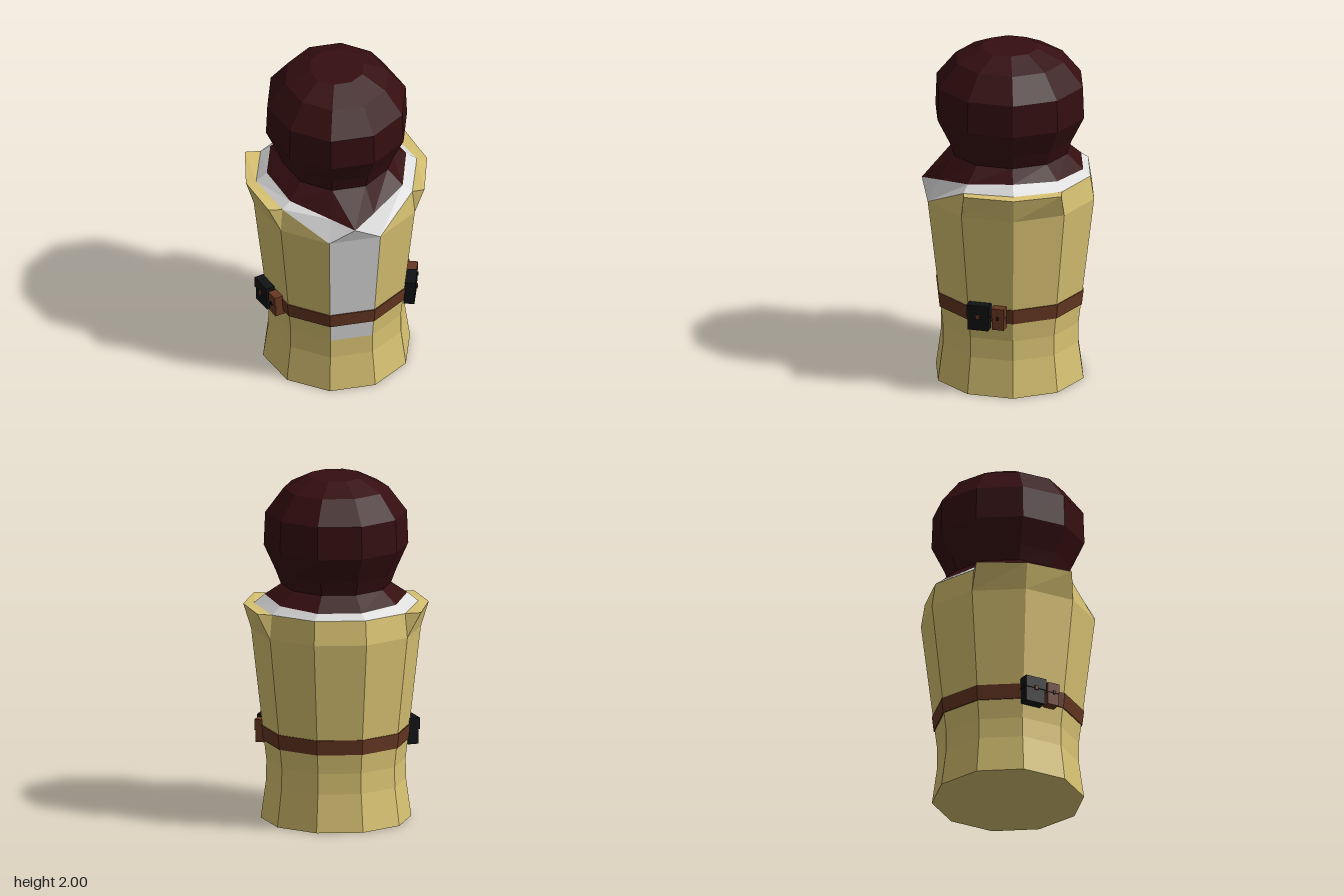
import * as THREE from 'three';

const SIDES = 10;
const mat = (name, color) => {
  const m = new THREE.MeshStandardMaterial({ color });
  m.name = name;
  return m;
};

// Ten-sided ring with a flat front; y may be one height or one per corner.
// Corner 0 is at +x, 2 and 3 are the front corners, 5 is at -x.
function ring(y, rx, rz = rx, cz = -0.015) {
  return Array.from({ length: SIDES }, (_, i) => {
    const a = ((i * 36 - 2.5) * Math.PI) / 180;
    return new THREE.Vector3(0.003 + rx * Math.cos(a), Array.isArray(y) ? y[i] : y, cz + rz * Math.sin(a));
  });
}

// Faceted surface collected triangle by triangle
class Facets {
  constructor() { this.p = []; }
  tri(...corners) {
    for (const v of corners) this.p.push(v.x, v.y, v.z);
    return this;
  }
  // Quads between two rings on the listed sides
  band(low, high, sides = [...Array(SIDES).keys()]) {
    for (const i of sides) {
      const j = (i + 1) % SIDES;
      this.tri(low[j], low[i], high[i]).tri(low[j], high[i], high[j]);
    }
    return this;
  }
  cap(r, up) {
    for (let i = 1; i < SIDES - 1; i++) {
      if (up) this.tri(r[0], r[i + 1], r[i]);
      else this.tri(r[0], r[i], r[i + 1]);
    }
    return this;
  }
  mesh(name, material) {
    const g = new THREE.BufferGeometry();
    g.setAttribute('position', new THREE.Float32BufferAttribute(this.p, 3));
    g.computeVertexNormals();
    const m = new THREE.Mesh(g, material);
    m.name = name;
    return m;
  }
}

export function createModel() {
  const model = new THREE.Group();
  model.name = 'hoodedFigure';
  const coatMat = mat('coat tan', 0xd8c272);
  const shirtMat = mat('shirt white', 0xdcdcdc);
  const hoodMat = mat('hood maroon', 0x350e10);
  const leather = mat('belt brown', 0x653722);
  const black = mat('pouch black', 0x101214);

  // Body rings from the hem to the chest
  const hem = ring(0, 0.43, 0.437);
  const knee = ring(0.22, 0.4, 0.407);
  const hip = ring(0.34, 0.398, 0.407);
  const chest = ring(1.11, 0.485, 0.5);

  // Collar edge: it drops to the chest at the two front corners
  const collar = ring([1.26, 1.25, 0, 0, 1.25, 1.26, 1.25, 1.25, 1.25, 1.25], 0.47, 0.478);
  collar[2] = chest[2];
  collar[3] = chest[3];
  // Line where the hood meets the shirt, with a point at the front
  const hoodBase = ring([1.31, 1.285, 1.235, 1.235, 1.285, 1.31, 1.295, 1.285, 1.285, 1.295], 0.408, 0.435);
  const tip = new THREE.Vector3(0.02, 1.2, 0.487);

  // Coat with an open front and flared shoulder flaps
  const coat = new Facets()
    .cap(hem, false)
    .band(hem, knee)
    .band(knee, hip)
    .band(hip, chest, [0, 1, 3, 4, 5, 6, 7, 8, 9])
    .band(chest, collar, [6, 7, 8])
    .tri(chest[2], chest[1], collar[1])
    .tri(chest[4], chest[3], collar[4]);
  model.add(coat.mesh('coat', coatMat));

  const flare = ring(1.255, 0.53, 0.5);
  [[1, 0.465, 0.25], [4, -0.445, 0.28], [6, -0.48, -0.28], [9, 0.455, -0.31]].forEach(([i, x, z]) => {
    flare[i].x = x;
    flare[i].z = z;
  });
  for (const [name, a, b, c] of [['leftShoulderFlap', 9, 0, 1], ['rightShoulderFlap', 4, 5, 6]]) {
    const flap = new Facets()
      .band(chest, flare, [a, b])
      .band(flare, collar, [a, b])
      .tri(chest[a], collar[a], flare[a])
      .tri(chest[c], flare[c], collar[c]);
    model.add(flap.mesh(name, coatMat));
  }

  // Shirt: front panel and the ring around the neck
  const shirt = new Facets()
    .band(hip, chest, [2])
    .band(collar, hoodBase, [0, 1, 3, 4, 5, 6, 7, 8, 9])
    .tri(collar[3], collar[2], tip)
    .tri(tip, collar[2], hoodBase[2])
    .tri(collar[3], tip, hoodBase[3]);
  model.add(shirt.mesh('shirt', shirtMat));

  // Hood: sloping cape, neck and rounded head
  const profile = [[1.37, 0.315, 0.34], [1.45, 0.345, 0.365], [1.6, 0.413, 0.44],
    [1.79, 0.405, 0.433], [1.93, 0.3, 0.32], [2.0, 0.16, 0.165]];
  const rings = profile.map(([y, rx, rz]) => ring(y, rx, rz));
  const neck = rings[0];
  const hood = new Facets()
    .band(hoodBase, neck, [0, 1, 3, 4, 5, 6, 7, 8, 9])
    .tri(tip, hoodBase[2], neck[2])
    .tri(hoodBase[3], tip, neck[3])
    .tri(tip, neck[2], neck[3]);
  for (let i = 0; i < rings.length - 1; i++) hood.band(rings[i], rings[i + 1]);
  hood.cap(rings[rings.length - 1], true);
  model.add(hood.mesh('hood', hoodMat));

  // Belt, slightly proud of the coat
  const low = ring(0.453, 0.417, 0.427);
  const high = ring(0.541, 0.427, 0.437);
  const belt = new Facets()
    .band(ring(0.453, 0.405, 0.415), low)
    .band(low, high)
    .band(high, ring(0.541, 0.415, 0.425));
  model.add(belt.mesh('belt', leather));

  // Pouches: body, overhanging lid and clasp; each faces along its local +z
  function pouch(name, x, z, yaw, w, h, d, material, claspMat) {
    const g = new THREE.Group();
    g.name = name;
    const part = (n, sx, sy, sz, y, pz, m) => {
      const b = new THREE.Mesh(new THREE.BoxGeometry(sx, sy, sz), m);
      b.name = n;
      b.position.set(0, y, pz);
      g.add(b);
    };
    part('pouchBody', w * 0.92, h, d * 0.9, 0, -d * 0.05, material);
    part('pouchLid', w, h * 0.45, d, h * 0.285, 0, material);
    part('pouchClasp', w * 0.16, h * 0.16, 0.008, h * 0.06, d * 0.5 + 0.003, claspMat);
    g.position.set(x, 0.495, z);
    g.rotation.y = yaw;
    model.add(g);
  }
  const leftYaw = THREE.MathUtils.degToRad(74.5);
  const rightYaw = THREE.MathUtils.degToRad(-69.5);
  pouch('leftBlackPouch', 0.4, 0.16, leftYaw, 0.132, 0.152, 0.07, black, leather);
  pouch('leftBrownPouch', 0.425, 0.045, leftYaw, 0.075, 0.13, 0.07, leather, black);
  pouch('rightBlackPouch', -0.42, 0.06, rightYaw, 0.132, 0.152, 0.07, black, leather);
  pouch('rightBrownPouch', -0.378, 0.17, rightYaw, 0.075, 0.13, 0.065, leather, black);

  return model;
}
